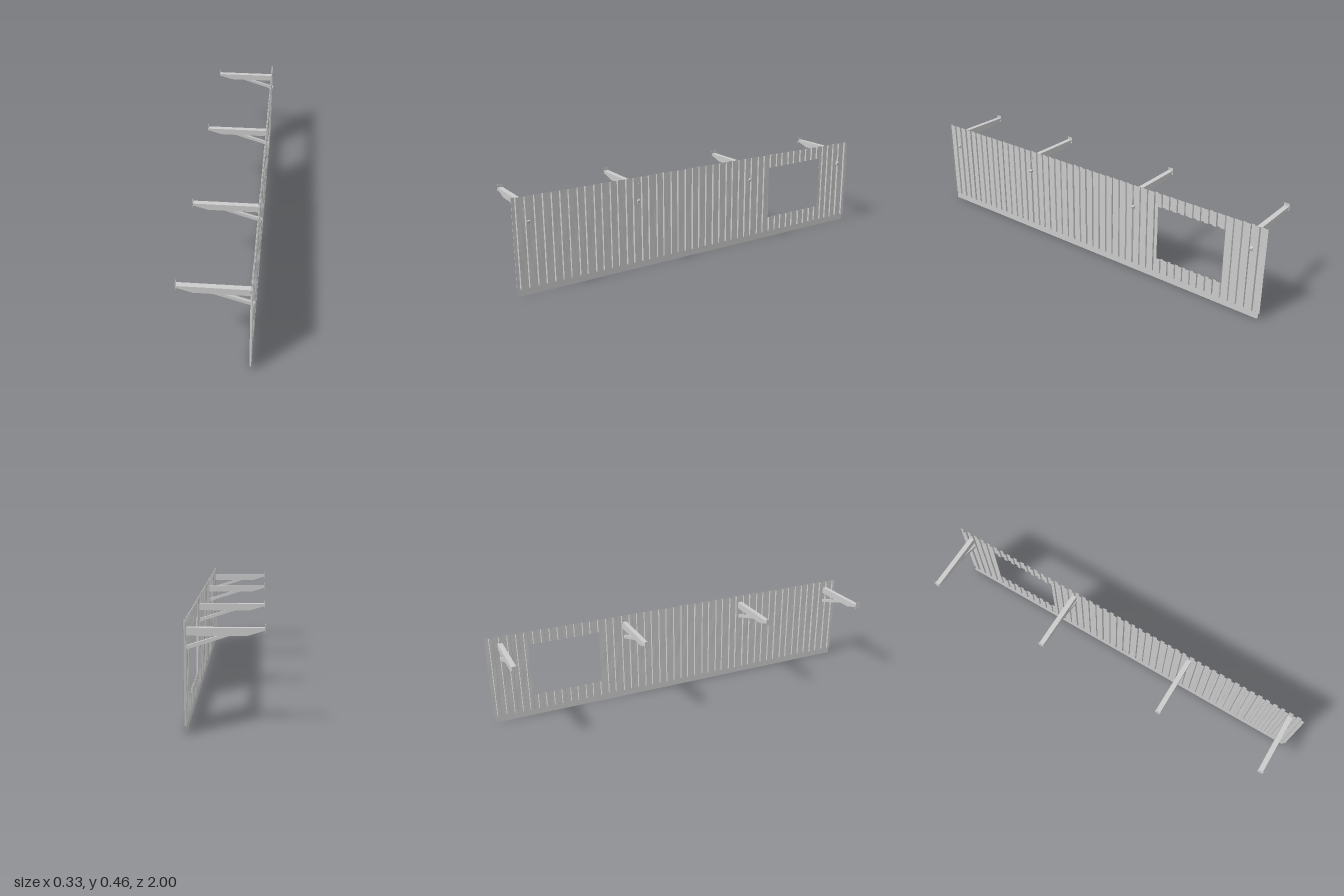
import * as THREE from 'three';

const WALL_X = 0.15, DEPTH = 0.0045;
const BOTTOM = 0.03, TOP = 0.455;
const OPENING = { z0: -0.795, z1: -0.435, y0: 0.11, y1: 0.385 };

function seeded(seed) {
  return () => {
    seed = (seed * 16807) % 2147483647;
    return seed / 2147483647;
  };
}

// Uneven ribbed cross-section along z: [z, x offset, top height offset]
function ribProfile() {
  const rnd = seeded(41), count = 48, pitch = 2 / count, points = [];
  for (let i = 0; i < count; i++) {
    const z = -1 + i * pitch;
    const a = 0.44 + rnd() * 0.12, b = 0.9 + rnd() * 0.06;
    const inner = -DEPTH * (0.7 + 0.3 * rnd()), outer = DEPTH * (0.7 + 0.3 * rnd());
    const drop = -0.004 * rnd();
    points.push([z, outer, 0], [z + pitch * a, outer, 0],
      [z + pitch * (a + 0.06), inner, drop], [z + pitch * b, inner, drop]);
  }
  points.push([1, DEPTH, 0]);
  return points;
}

// Part of the ribbed sheet, cut to a rectangle and slightly dented between its edges
function sheetGeometry(profile, z0, z1, y0, y1) {
  const at = (z) => {
    const i = Math.max(1, profile.findIndex((p) => p[0] >= z));
    const a = profile[i - 1], b = profile[i], t = (z - a[0]) / (b[0] - a[0]);
    return [z, a[1] + (b[1] - a[1]) * t, a[2] + (b[2] - a[2]) * t];
  };
  const cut = [at(z0), ...profile.filter((p) => p[0] > z0 + 1e-5 && p[0] < z1 - 1e-5), at(z1)];
  const rows = Math.max(1, Math.round((y1 - y0) / 0.1));
  const positions = [];
  const corner = (p, r) => {
    const t = r / rows;
    const y = y0 + (y1 - y0) * t + (r === rows && y1 === TOP ? p[2] : 0);
    const dent = 0.0008 * Math.sin(p[0] * 61 + y * 23) * Math.sin(Math.PI * t);
    return [WALL_X + p[1] + dent, y, p[0]];
  };
  for (let i = 0; i < cut.length - 1; i++) {
    for (let r = 0; r < rows; r++) {
      const a = corner(cut[i], r), b = corner(cut[i + 1], r);
      const c = corner(cut[i + 1], r + 1), d = corner(cut[i], r + 1);
      positions.push(...a, ...c, ...b, ...a, ...d, ...c);
    }
  }
  const geometry = new THREE.BufferGeometry();
  geometry.setAttribute('position', new THREE.Float32BufferAttribute(positions, 3));
  geometry.computeVertexNormals();
  return geometry;
}

// Side outline in x and y, given a width along z
function sideExtrude(outline, width) {
  const shape = new THREE.Shape(outline.map(([x, y]) => new THREE.Vector2(x, y)));
  return new THREE.ExtrudeGeometry(shape, { depth: width, bevelEnabled: false })
    .translate(0, 0, -width / 2);
}

export function createModel() {
  const material = new THREE.MeshStandardMaterial({ color: 0xcccccc, flatShading: true });
  const thin = new THREE.MeshStandardMaterial({
    color: 0xcccccc, flatShading: true, side: THREE.DoubleSide,
  });
  const model = new THREE.Group();
  model.name = 'ribbedWallWithBrackets';
  const add = (parent, name, geometry, mat = material) => {
    const mesh = new THREE.Mesh(geometry, mat);
    mesh.name = name;
    parent.add(mesh);
    return mesh;
  };

  // Ribbed wall around the window opening
  const wall = new THREE.Group();
  wall.name = 'ribbedWall';
  model.add(wall);
  const profile = ribProfile(), o = OPENING;
  add(wall, 'mainSheet', sheetGeometry(profile, o.z1, 1, BOTTOM, TOP), thin);
  add(wall, 'endSheet', sheetGeometry(profile, -1, o.z0, BOTTOM, TOP), thin);
  add(wall, 'sheetBelowOpening', sheetGeometry(profile, o.z0, o.z1, BOTTOM, o.y0), thin);
  add(wall, 'sheetAboveOpening', sheetGeometry(profile, o.z0, o.z1, o.y1, TOP), thin);

  // Skirting strips on both faces of the wall foot
  for (const [name, side] of [['outerSkirting', 1], ['innerSkirting', -1]]) {
    const strip = add(model, name, new THREE.PlaneGeometry(1.98, BOTTOM), thin);
    strip.rotation.y = side * Math.PI / 2;
    strip.position.set(WALL_X + side * 0.004, BOTTOM / 2, 0);
  }

  // Cantilever brackets: tapered arm, diagonal strut and end plate
  const arm = sideExtrude([[-0.163, 0.41], [-0.092, 0.388], [0.148, 0.388],
    [0.148, 0.42], [-0.163, 0.42]], 0.024);
  const strut = sideExtrude([[-0.03, 0.389], [0.156, 0.328], [0.162, 0.343],
    [0.015, 0.389]], 0.014);
  const plate = new THREE.BoxGeometry(0.002, 0.033, 0.028);
  plate.translate(-0.163, 0.4165, 0);
  for (const z of [-0.93, -0.295, 0.375, 0.93]) {
    const bracket = new THREE.Group();
    bracket.name = 'bracket';
    bracket.position.z = z;
    add(bracket, 'arm', arm);
    add(bracket, 'strut', strut);
    add(bracket, 'endPlate', plate);
    model.add(bracket);
  }
  return model;
}
